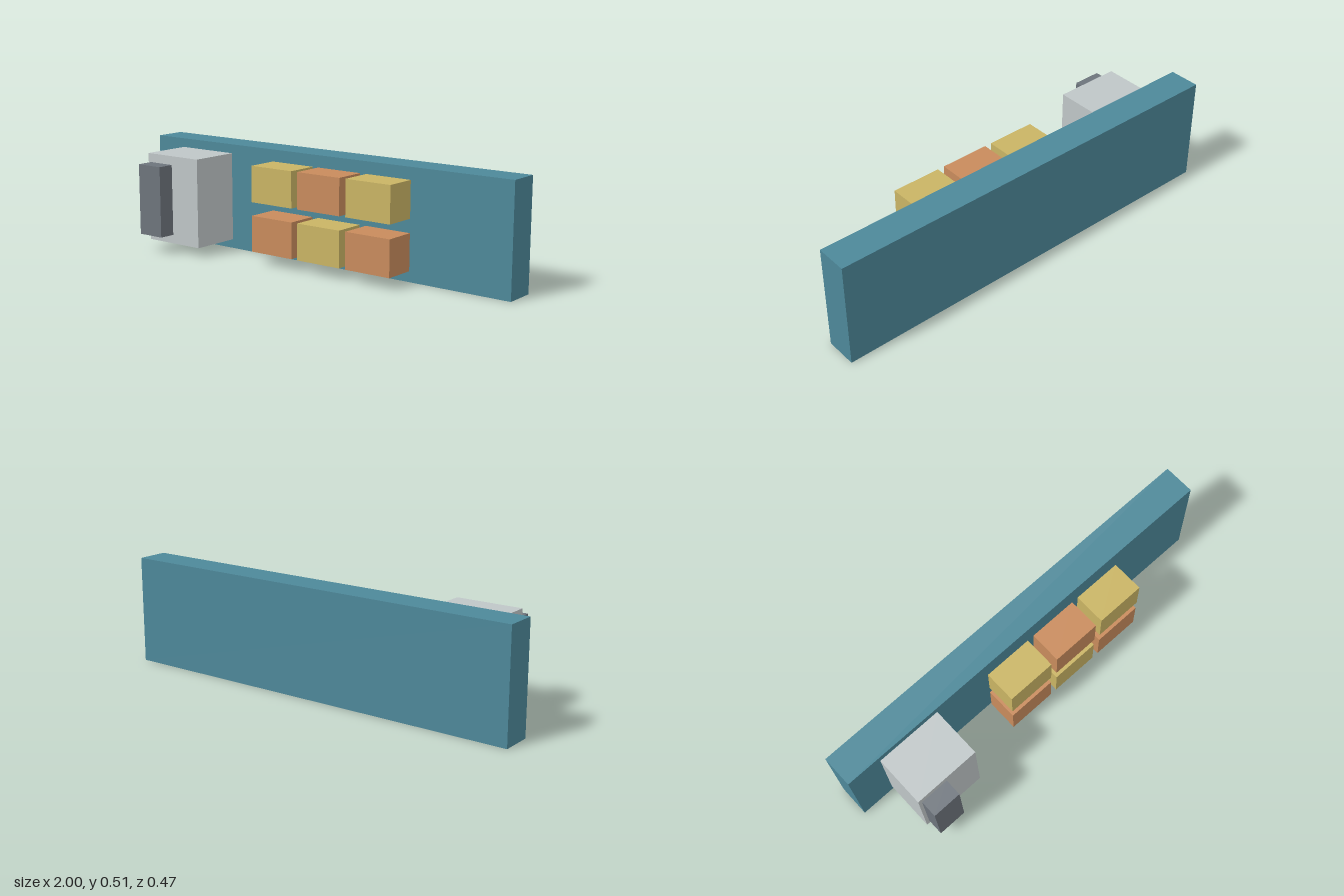
import * as THREE from 'three';

const material = (name, color) => {
  const m = new THREE.MeshStandardMaterial({ color });
  m.name = name;
  return m;
};

export function createModel() {
  const teal = material('teal', 0x4d8899);
  const paleGrey = material('pale grey', 0xbfc6c7);
  const slate = material('slate grey', 0x6d747c);
  const yellow = material('mustard yellow', 0xc9b464);
  const orange = material('burnt orange', 0xc88b5c);

  const model = new THREE.Group();
  model.name = 'wallPanel';

  // Adds a box to a parent from its minimum and maximum corners
  const addBox = (parent, name, mat, min, max) => {
    const size = max.map((v, i) => v - min[i]);
    const mesh = new THREE.Mesh(new THREE.BoxGeometry(...size), mat);
    mesh.position.set(...max.map((v, i) => (v + min[i]) / 2));
    mesh.name = name;
    parent.add(mesh);
  };

  // Long upright back panel
  addBox(model, 'backPanel', teal, [-1, 0, -0.235], [1, 0.506, -0.087]);

  // Cabinet against the panel, with a narrow handle block on its front
  addBox(model, 'cabinet', paleGrey, [-0.834, 0.043, -0.087], [-0.518, 0.463, 0.155]);
  addBox(model, 'handle', slate, [-0.818, 0.085, 0.155], [-0.681, 0.421, 0.235]);

  // Two rows of three blocks in alternating colours, floating just off the panel
  const blocks = new THREE.Group();
  blocks.name = 'blocks';
  model.add(blocks);
  for (let row = 0; row < 2; row++) {
    for (let col = 0; col < 3; col++) {
      const x = -0.247 + col * 0.265;
      const y = 0.055 + row * 0.231;
      const mat = (row + col) % 2 ? yellow : orange;
      addBox(blocks, `block${row * 3 + col + 1}`, mat,
        [x, y, -0.067], [x + 0.232, y + 0.168, 0.084]);
    }
  }
  return model;
}
